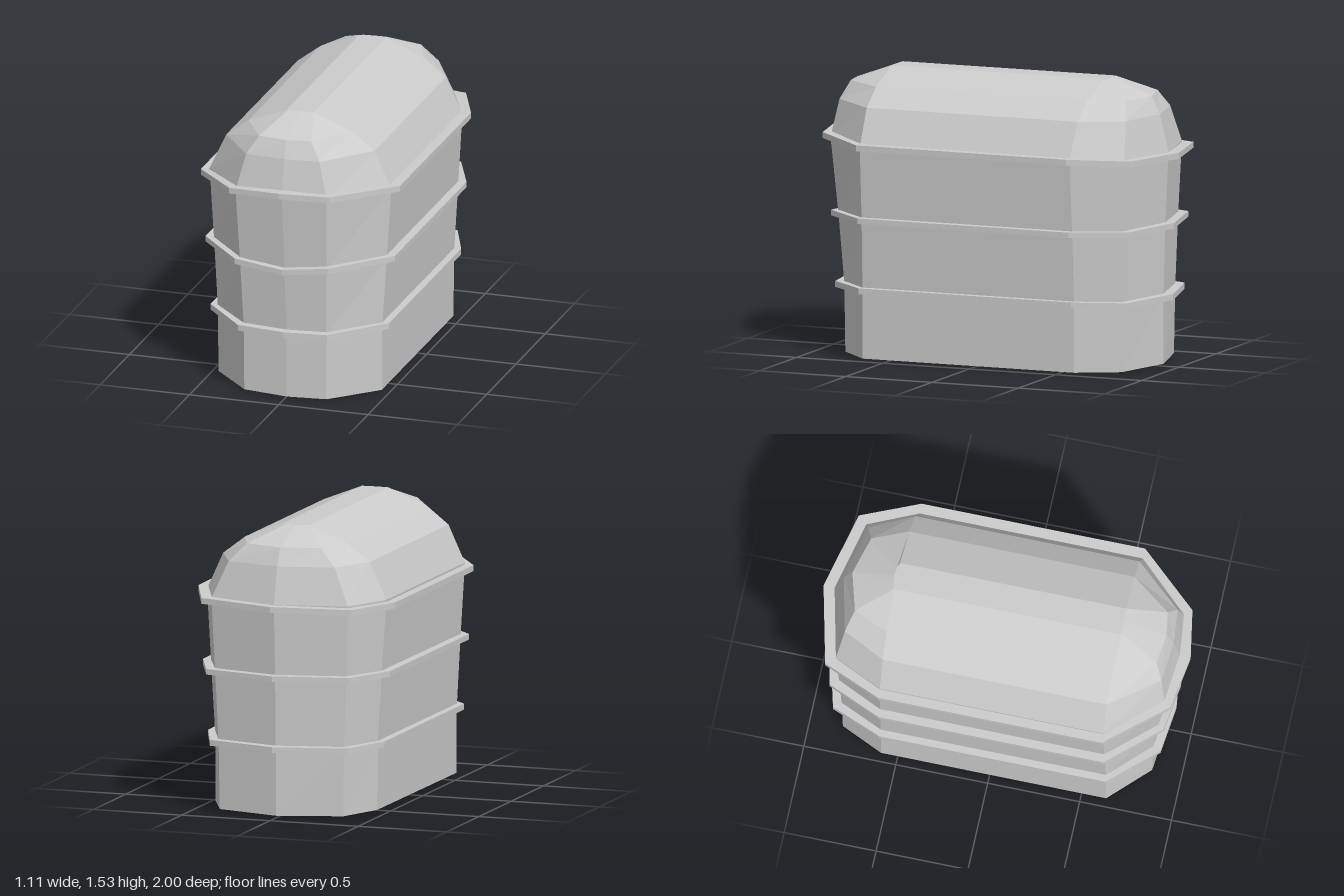
import * as THREE from 'three';

const material = new THREE.MeshStandardMaterial({ color: 0xcccccc, flatShading: true });

// Ten-sided plan: flat long sides, pointed front and back ends, front corners shifted slightly to -x
function plan(side, zFront, zBack, frontX, frontZ, frontTip, backX, backZ, backTip) {
  const shift = -0.015;
  return [
    [0, frontTip], [frontX + shift, frontZ], [side, zFront], [side, zBack], [backX, backZ],
    [0, backTip], [-backX, backZ], [-side, zBack], [-side, zFront], [-frontX + shift, frontZ],
  ];
}

const ring = (points, y) => points.map(([x, z], i) => [x, Array.isArray(y) ? y[i] : y, z]);

// Skins a stack of rings; closes first and last ring with a fan when asked
function loft(name, rings, capStart, capEnd) {
  const n = rings[0].length;
  const positions = rings.flat(2);
  const index = [];
  for (let r = 0; r < rings.length - 1; r++) {
    for (let i = 0; i < n; i++) {
      const j = (i + 1) % n;
      const a = r * n + i, b = r * n + j, c = b + n, d = a + n;
      index.push(a, b, c, a, c, d);
    }
  }
  const last = (rings.length - 1) * n;
  for (let i = 1; i < n - 1; i++) {
    if (capStart) index.push(0, i + 1, i);
    if (capEnd) index.push(last, last + i, last + i + 1);
  }
  const geometry = new THREE.BufferGeometry();
  geometry.setAttribute('position', new THREE.Float32BufferAttribute(positions, 3));
  geometry.setIndex(index);
  const flat = geometry.toNonIndexed();
  flat.computeVertexNormals();
  const mesh = new THREE.Mesh(flat, material);
  mesh.name = name;
  return mesh;
}

// Thin band around the body, with its height given at each corner
function band(name, outline, heights, half) {
  const inner = outline.map(([x, z]) => [x * 0.86, z * 0.86]);
  const low = heights.map((y) => y - half);
  const high = heights.map((y) => y + half);
  return loft(name, [ring(inner, low), ring(outline, low), ring(outline, high), ring(inner, high)], false, false);
}

export function createModel() {
  const group = new THREE.Group();
  group.name = 'ribbedContainer';

  // Walls flare gently towards the top
  const shoulder = ring(plan(0.508, 0.63, -0.585, 0.255, 0.915, 0.945, 0.387, -0.85, -0.94), 1.155);
  group.add(loft('walls', [
    ring(plan(0.457, 0.635, -0.59, 0.23, 0.84, 0.865, 0.35, -0.82, -0.91),
      [0, 0, 0.01, 0.01, 0.012, 0.012, 0.015, 0.018, 0.015, 0.005]),
    ring(plan(0.46, 0.635, -0.59, 0.232, 0.845, 0.872, 0.355, -0.825, -0.91), 0.37),
    ring(plan(0.483, 0.63, -0.59, 0.243, 0.875, 0.905, 0.37, -0.835, -0.92), 0.75),
    shoulder,
  ], true, false));

  // Faceted dome with a narrow flat ridge
  group.add(loft('domedRoof', [
    shoulder,
    ring(plan(0.415, 0.63, -0.59, 0.205, 0.885, 0.905, 0.30, -0.82, -0.89), 1.355),
    ring(plan(0.29, 0.63, -0.595, 0.145, 0.845, 0.865, 0.21, -0.785, -0.843), 1.45),
    ring(plan(0.075, 0.63, -0.6, 0.05, 0.632, 0.635, 0.05, -0.61, -0.615), 1.535),
  ], false, true));

  // Three slightly uneven bands
  group.add(band('lowerBand',
    plan(0.5, 0.64, -0.59, 0.25, 0.89, 0.92, 0.39, -0.865, -0.965),
    [0.366, 0.365, 0.378, 0.378, 0.375, 0.375, 0.375, 0.375, 0.375, 0.368], 0.016));
  group.add(band('middleBand',
    plan(0.53, 0.635, -0.59, 0.262, 0.91, 0.945, 0.405, -0.88, -0.972),
    [0.727, 0.75, 0.76, 0.76, 0.76, 0.76, 0.76, 0.757, 0.755, 0.75], 0.015));
  group.add(band('upperBand',
    plan(0.557, 0.63, -0.585, 0.28, 0.95, 0.997, 0.425, -0.9, -1),
    [1.175, 1.167, 1.157, 1.155, 1.145, 1.138, 1.13, 1.128, 1.128, 1.16], 0.016));

  return group;
}
